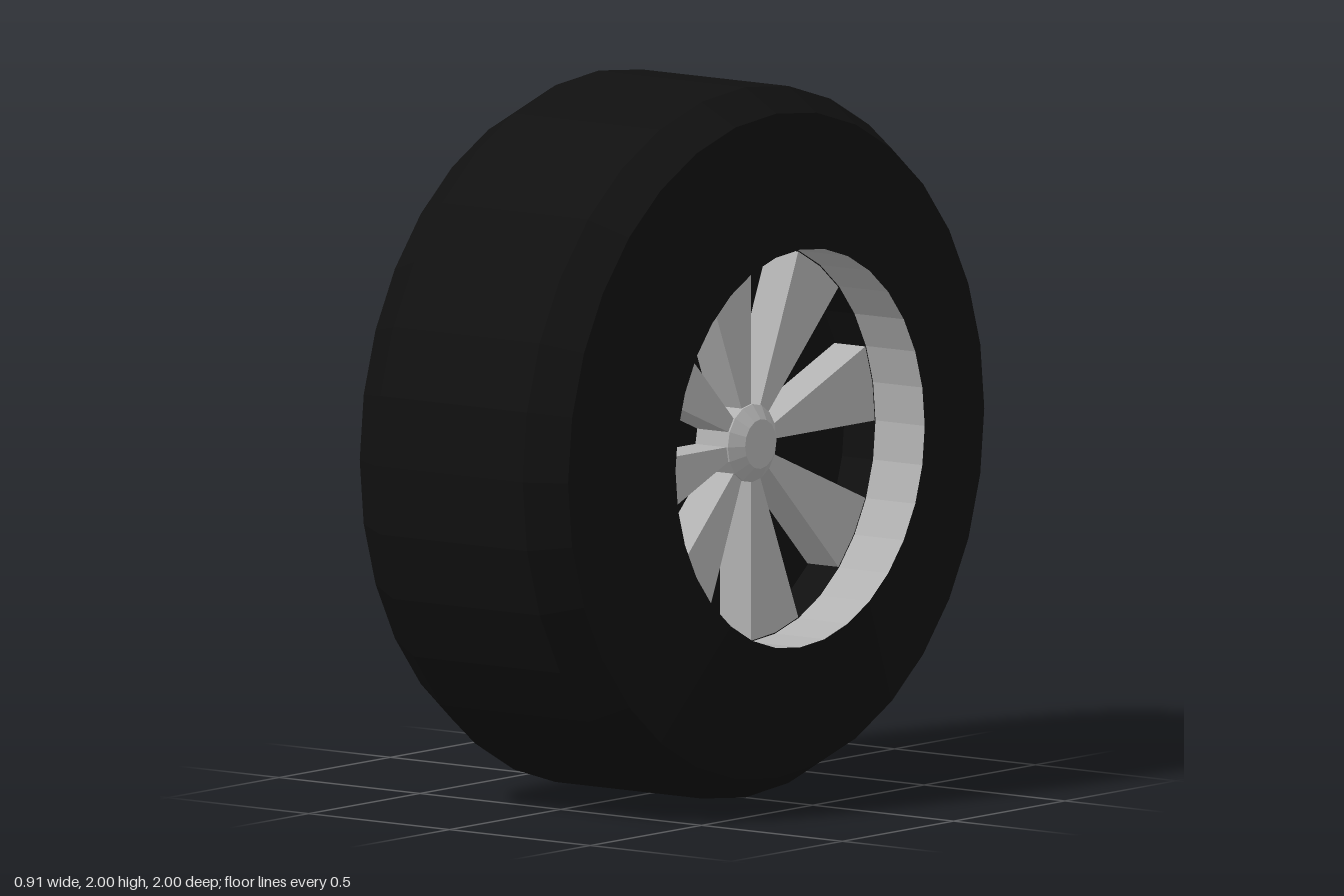
import * as THREE from 'three';

const SIDES = 32;
const RIM_R = 0.56;
const LIP_X = 0.455;    // outer face of the tire
const SPOKE_X = 0.28;   // outer face of the spokes
const PLATE_X = 0.17;   // dark plate behind the spokes

const rubber = new THREE.MeshStandardMaterial({ color: 0x101010 });
rubber.name = 'black rubber';
const metal = new THREE.MeshStandardMaterial({ color: 0xb2b2b2 });
metal.name = 'grey metal';

// Faceted normals on any geometry
function faceted(geometry) {
  const flat = geometry.index ? geometry.toNonIndexed() : geometry;
  flat.computeVertexNormals();
  return flat;
}

// Revolves [radius, x] points around the x axis
function revolve(name, points, material, sides = SIDES) {
  const geometry = new THREE.LatheGeometry(points.map(([r, x]) => new THREE.Vector2(r, x)), sides);
  geometry.rotateZ(-Math.PI / 2);
  const mesh = new THREE.Mesh(faceted(geometry), material);
  mesh.name = name;
  return mesh;
}

// Wedge spoke running through the whole wheel
function spokeGeometry() {
  const arc = Math.PI / 8;
  const shape = new THREE.Shape();
  const corner = (r, a) => [r * Math.cos(a), r * Math.sin(a)];
  shape.moveTo(...corner(0.08, 0));
  shape.lineTo(...corner(RIM_R - 0.003, 0));
  shape.lineTo(...corner(RIM_R - 0.003, arc / 2));
  shape.lineTo(...corner(RIM_R - 0.003, arc));
  shape.lineTo(...corner(0.08, arc));
  shape.closePath();
  const geometry = new THREE.ExtrudeGeometry(shape, { depth: SPOKE_X * 2, bevelEnabled: false });
  geometry.translate(0, 0, -SPOKE_X);
  geometry.rotateY(Math.PI / 2);
  return faceted(geometry);
}

export function createModel() {
  const model = new THREE.Group();
  model.name = 'wheel';
  const axle = new THREE.Group();
  axle.name = 'wheelAssembly';
  axle.position.y = 1;
  model.add(axle);

  // Tire: sidewalls, shoulders and tread
  axle.add(revolve('tire', [
    [RIM_R, -LIP_X], [0.935, -0.37], [1, -0.26],
    [1, 0.26], [0.935, 0.37], [RIM_R, LIP_X],
  ], rubber));

  // Rim walls, dark inner wells and backing plates on both sides
  for (const side of [1, -1]) {
    const order = (points) => {
      const placed = points.map(([r, x]) => [r, x * side]);
      return side > 0 ? placed : placed.reverse();
    };
    const name = side > 0 ? 'left' : 'right';
    axle.add(revolve(name + 'Rim', order([[RIM_R, LIP_X], [RIM_R, SPOKE_X]]), metal));
    axle.add(revolve(name + 'InnerWell',
      order([[RIM_R, SPOKE_X], [RIM_R, PLATE_X], [0.05, PLATE_X]]), rubber));
  }

  // Spokes
  const geometry = spokeGeometry();
  for (let i = 0; i < 8; i++) {
    const spoke = new THREE.Mesh(geometry, metal);
    spoke.name = 'spoke' + (i + 1);
    spoke.rotation.x = (i * Math.PI) / 4;
    axle.add(spoke);
  }

  // Hub with bevelled caps
  axle.add(revolve('hub', [
    [0, -0.315], [0.07, -0.315], [0.11, -0.285],
    [0.11, 0.285], [0.07, 0.315], [0, 0.315],
  ], metal, 16));

  return model;
}
